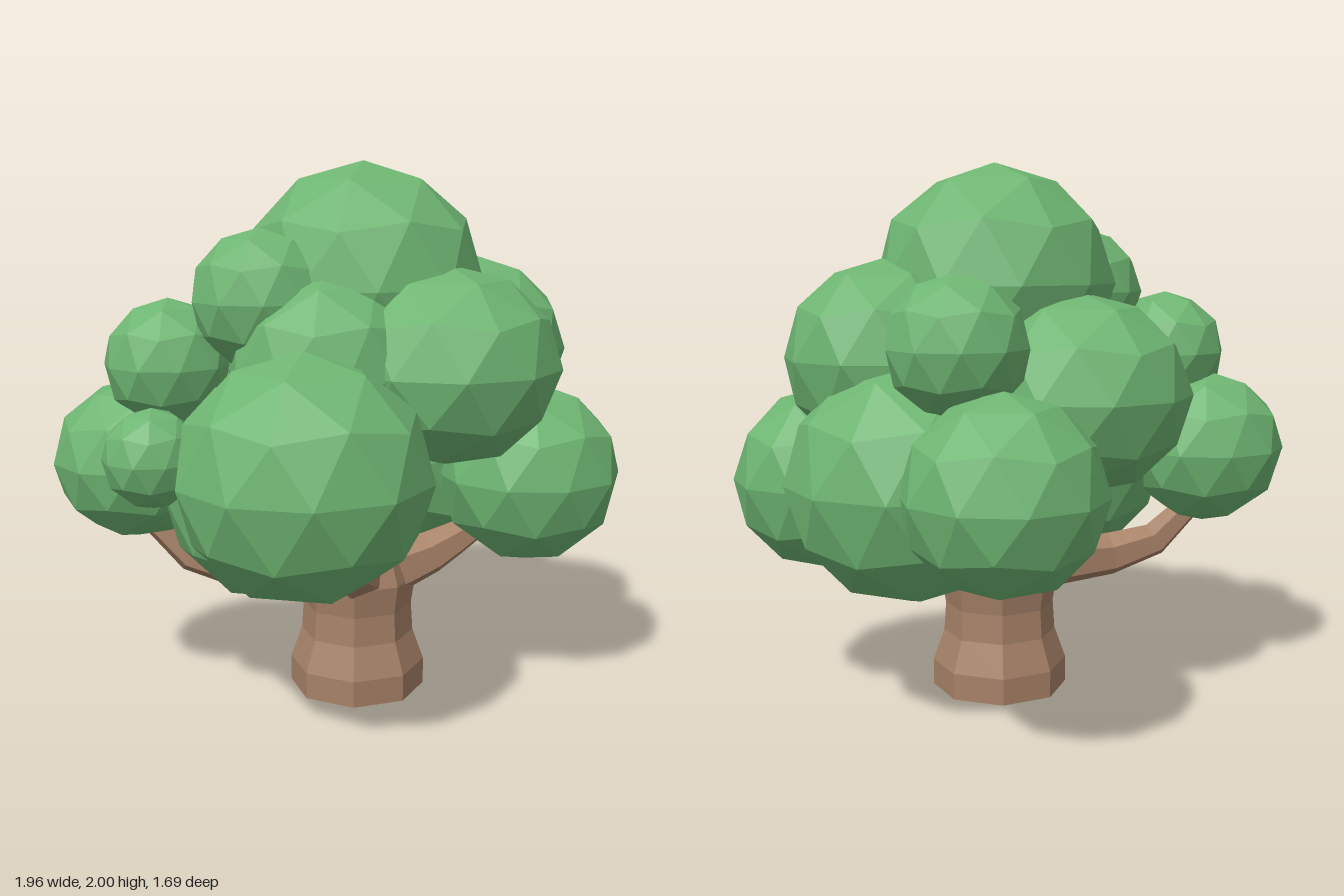
import * as THREE from 'three';

export function createModel() {
  const leaf = new THREE.MeshStandardMaterial({ color: 0x6eb572, flatShading: true });
  leaf.name = 'leaf green';
  const bark = new THREE.MeshStandardMaterial({ color: 0xa68167, flatShading: true });
  bark.name = 'bark brown';

  const tree = new THREE.Group();
  tree.name = 'tree';

  // Low-poly ball with a vertex pointing straight up
  const ball = new THREE.IcosahedronGeometry(1, 1);
  ball.rotateZ(-Math.atan(2 / (1 + Math.sqrt(5))));

  // Foliage clumps: name, centre x y z, radius, height factor, turn
  const clumps = [
    ['crownTop', 0.045, 1.56, 0.05, 0.45, 0.978, 0],
    ['frontRightLarge', -0.513, 0.965, 0.375, 0.44, 0.965, 0],
    ['frontLeftLow', 0.52, 0.84, 0.46, 0.35, 0.99, 0.2],
    ['leftLarge', 0.54, 0.885, 0, 0.437, 0.985, 0.314],
    ['frontCentre', 0.1, 1.285, 0.435, 0.405, 0.88, 0.61],
    ['leftMiddle', 0.455, 1.3, 0.215, 0.36, 0.98, 0.1],
    ['leftUpperSmall', 0.57, 1.365, -0.26, 0.245, 1, 0.5],
    ['backLeft', 0.615, 0.91, -0.505, 0.342, 0.98, 0],
    ['backCentre', 0.037, 1.175, -0.355, 0.4, 0.9, 0],
    ['backRight', -0.645, 0.915, -0.44, 0.308, 0.97, 0.6],
    ['rightMiddleSmall', -0.6, 1.285, -0.275, 0.235, 1, 0.2],
    ['rightUpperSmall', -0.395, 1.52, 0, 0.25, 1, 0],
    ['rightTiny', -0.81, 1, -0.075, 0.175, 1, 0.3],
    ['frontRightUpper', -0.255, 1.275, 0.19, 0.35, 1, 0.1],
    ['rightLow', -0.38, 0.865, 0.08, 0.425, 0.98, 0],
    ['core', -0.09, 1.12, -0.06, 0.43, 1, 0.2],
  ];
  const foliage = new THREE.Group();
  foliage.name = 'foliage';
  for (const [name, x, y, z, r, squash, turn] of clumps) {
    const m = new THREE.Mesh(ball, leaf);
    m.name = name;
    m.position.set(x, y, z);
    m.scale.set(r, r * squash, r);
    m.rotation.y = turn;
    foliage.add(m);
  }
  tree.add(foliage);

  // Eight-sided trunk, closed underneath and tapering to a blunt top
  const profile = [[0, 0], [0.258, 0], [0.258, 0.1], [0.215, 0.22], [0.208, 0.33],
    [0.225, 0.44], [0.19, 0.55], [0.11, 0.66], [0, 0.72]].map(([r, y]) => new THREE.Vector2(r, y));
  const trunk = new THREE.Mesh(new THREE.LatheGeometry(profile, 8), bark);
  trunk.name = 'trunk';
  trunk.position.set(0.015, 0, 0.055);
  tree.add(trunk);

  // Tapered six-sided limb through a few points
  function limb(name, points, r0, r1) {
    const steps = 4, sides = 6;
    const curve = new THREE.CatmullRomCurve3(points.map(p => new THREE.Vector3(...p)));
    const g = new THREE.TubeGeometry(curve, steps, 1, sides);
    const pos = g.attributes.position, v = new THREE.Vector3();
    for (let i = 0; i < pos.count; i++) {
      const t = Math.floor(i / (sides + 1)) / steps;
      const c = curve.getPointAt(t);
      v.fromBufferAttribute(pos, i).sub(c).multiplyScalar(r0 + (r1 - r0) * t).add(c);
      pos.setXYZ(i, v.x, v.y, v.z);
    }
    const m = new THREE.Mesh(g, bark);
    m.name = name;
    tree.add(m);
  }
  limb('leader', [[0.03, 0.5, 0.07], [0.06, 0.7, 0.07], [0.08, 0.85, 0.06]], 0.16, 0.05);
  limb('frontRightBranch', [[-0.03, 0.47, 0.12], [-0.17, 0.53, 0.22], [-0.34, 0.64, 0.3]], 0.12, 0.05);
  limb('frontLeftBranch', [[0.06, 0.46, 0.12], [0.2, 0.51, 0.22], [0.41, 0.62, 0.32]], 0.12, 0.05);
  limb('backRightBranch', [[-0.05, 0.49, 0], [-0.34, 0.485, -0.18], [-0.5, 0.54, -0.31], [-0.6, 0.67, -0.4]], 0.12, 0.05);
  limb('backLeftBranch', [[0.05, 0.46, 0.02], [0.2, 0.52, -0.13], [0.36, 0.6, -0.29]], 0.14, 0.04);

  return tree;
}
